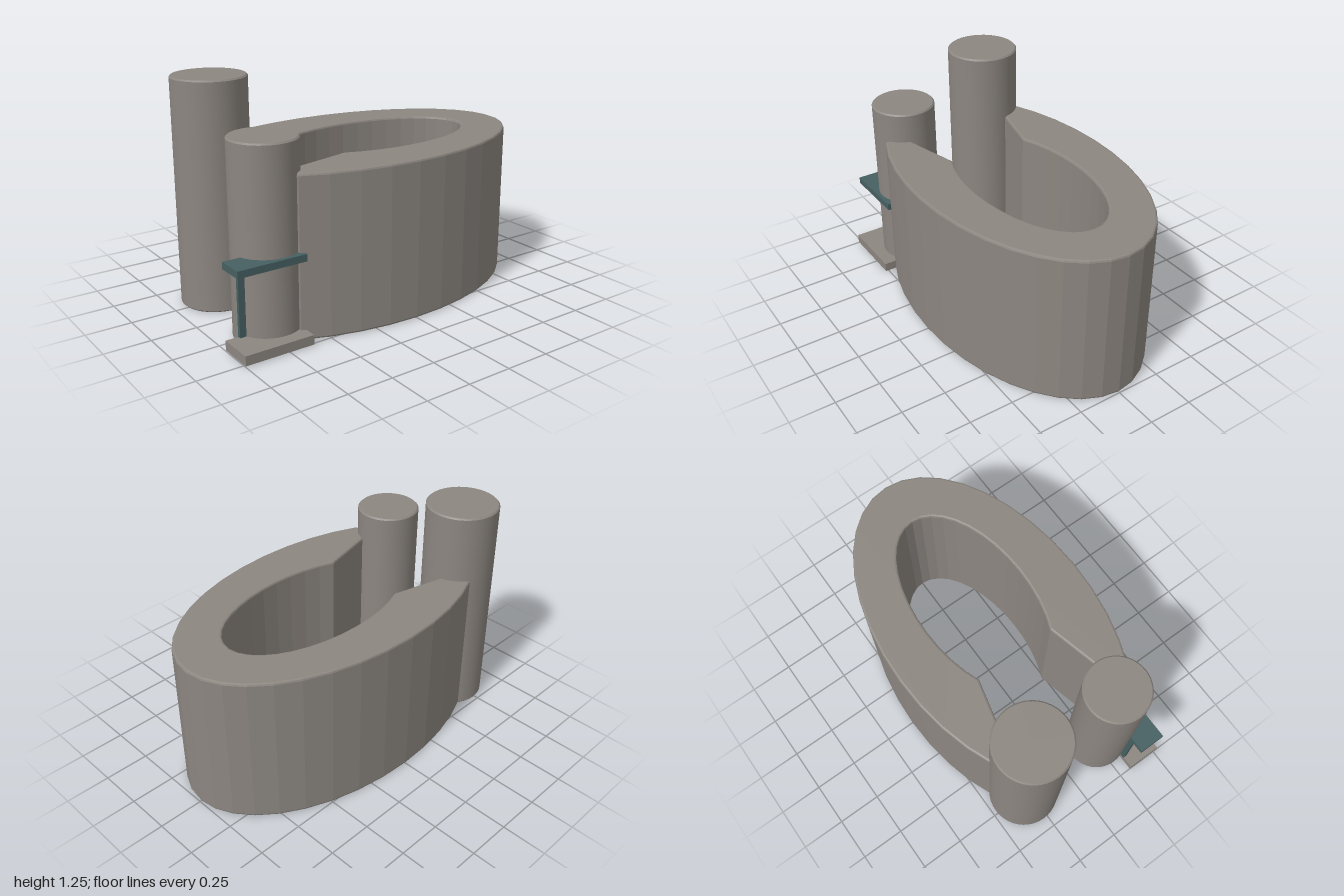
import * as THREE from 'three';
import { toCreasedNormals } from 'three/addons/utils/BufferGeometryUtils.js';

export function createModel() {
  const group = new THREE.Group();
  const stone = new THREE.MeshStandardMaterial({ name: 'warm grey stone', color: 0x8c8680 });
  const teal = new THREE.MeshStandardMaterial({ name: 'dark teal', color: 0x466062 });

  const add = (name, geometry, material, x = 0, y = 0, z = 0) => {
    const mesh = new THREE.Mesh(geometry, material);
    mesh.name = name;
    mesh.position.set(x, y, z);
    group.add(mesh);
  };

  // Horseshoe wall: two faceted elliptical arcs joined by tapering ends
  const outline = [];
  for (let a = -130; a <= 130; a += 10) {
    const t = THREE.MathUtils.degToRad(a);
    outline.push(new THREE.Vector2(0.995 * Math.cos(t), 0.575 * Math.sin(t)));
  }
  outline.push(new THREE.Vector2(-0.63, 0.33));
  for (let a = 130; a >= -130; a -= 10) {
    const t = THREE.MathUtils.degToRad(a);
    outline.push(new THREE.Vector2(0.14 + 0.585 * Math.cos(t), 0.305 * Math.sin(t)));
  }
  outline.push(new THREE.Vector2(-0.63, -0.33));
  const bevel = 0.012;
  const wall = new THREE.ExtrudeGeometry(new THREE.Shape(outline), {
    depth: 0.87 - 2 * bevel,
    bevelEnabled: true,
    bevelThickness: bevel,
    bevelSize: bevel,
    bevelOffset: -bevel,
    bevelSegments: 2,
  });
  wall.rotateX(-Math.PI / 2);
  add('horseshoeWall', wall, stone, 0, 0.005 + bevel, 0);

  // Round towers with softened rims
  const tower = (r, h) => {
    const b = 0.008;
    const profile = [[0, 0], [r - b, 0], [r, b], [r, h - b], [r - b, h], [0, h]]
      .map(([x, y]) => new THREE.Vector2(x, y));
    return toCreasedNormals(new THREE.LatheGeometry(profile, 40), 0.5);
  };
  add('tallTower', tower(0.203, 1.255), stone, -0.73, 0.005, -0.275);
  add('shortTower', tower(0.18, 1.04), stone, -0.73, 0.005, 0.268);

  // Entrance: doorstep, canopy and the thin panel between them
  add('doorstep', new THREE.BoxGeometry(0.385, 0.052, 0.2), stone, -0.8075, 0.036, 0.42);
  add('canopy', new THREE.BoxGeometry(0.385, 0.038, 0.15), teal, -0.8075, 0.455, 0.395);
  add('doorPanel', new THREE.BoxGeometry(0.25, 0.39, 0.02), teal, -0.805, 0.245, 0.33);

  return group;
}
